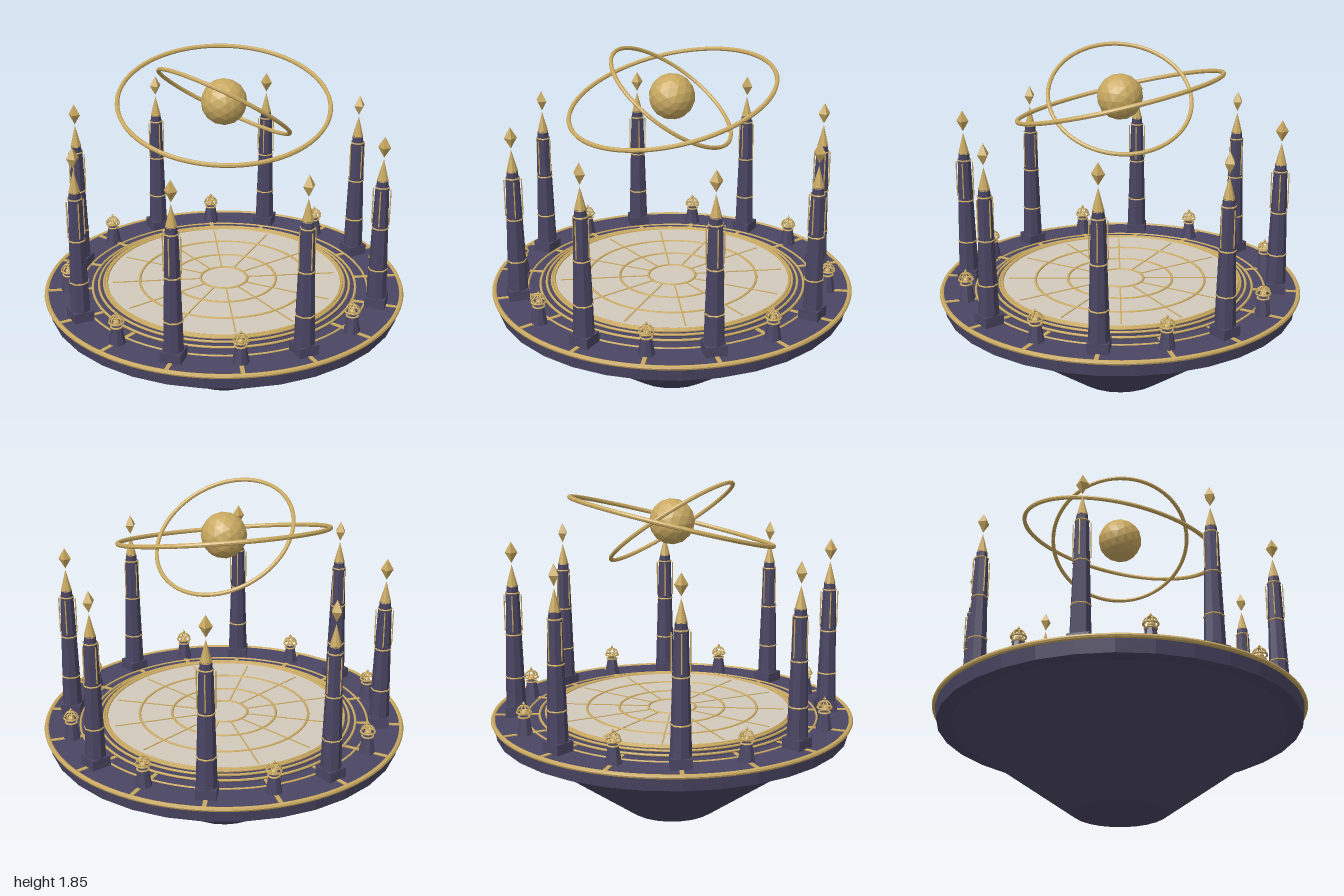
import * as THREE from 'three';

const mat = (name, color, opts = {}) => {
  const m = new THREE.MeshStandardMaterial({ color, ...opts });
  m.name = name;
  return m;
};

export function createModel() {
  const navy = mat('navy stone', 0x4a4563, { flatShading: true });
  const gold = mat('gold', 0xc9a961, { flatShading: true });
  const ivory = mat('ivory floor', 0xd2cabb, { flatShading: true });
  const model = new THREE.Group();
  model.name = 'floatingObservatory';

  const add = (parent, name, geo, material, x = 0, y = 0, z = 0) => {
    const mesh = new THREE.Mesh(geo, material);
    mesh.name = name;
    mesh.position.set(x, y, z);
    parent.add(mesh);
    return mesh;
  };
  // Frustum standing on y0
  const drum = (parent, name, rBottom, rTop, y0, y1, sides, material) =>
    add(parent, name, new THREE.CylinderGeometry(rTop, rBottom, y1 - y0, sides), material, 0, (y0 + y1) / 2);
  // Horizontal ring
  const hoop = (parent, name, r, tube, y, segments = 72) => {
    const mesh = add(parent, name, new THREE.TorusGeometry(r, tube, 8, segments), gold, 0, y);
    mesh.rotation.x = Math.PI / 2;
    return mesh;
  };
  // Group turned so that its local +x points outward from the centre
  const radial = (name, angle, r) => {
    const g = new THREE.Group();
    g.name = name;
    g.position.set(Math.cos(angle) * r, 0, Math.sin(angle) * r);
    g.rotation.y = -angle;
    model.add(g);
    return g;
  };

  // Hull and deck
  drum(model, 'hull', 0.25, 0.9, 0, 0.47, 24, navy);
  drum(model, 'deckRim', 0.972, 0.985, 0.465, 0.55, 32, navy);
  hoop(model, 'rimRing', 0.985, 0.013, 0.545, 96);
  hoop(model, 'deckRing', 0.8, 0.006, 0.551);

  // Stepped dais with gold edging
  [[0.735, 0.561], [0.7, 0.573], [0.672, 0.58]].forEach(([r, y]) => {
    drum(model, 'daisStep', r, r, 0.54, y, 64, navy);
    hoop(model, 'daisEdge', r - 0.003, 0.007, y);
  });
  drum(model, 'floor', 0.655, 0.655, 0.54, 0.583, 64, ivory);
  hoop(model, 'floorEdge', 0.655, 0.008, 0.583);
  [0.13, 0.29, 0.47].forEach(r => hoop(model, 'floorRing', r, 0.007, 0.583));

  // Floor spokes
  for (let i = 0; i < 12; i++) {
    const spoke = radial('floorSpoke', i * Math.PI / 6, 0.375);
    add(spoke, 'spokeInlay', new THREE.BoxGeometry(0.49, 0.004, 0.008), gold, 0, 0.584);
  }

  // Obelisk tower with bands, rods, spire and floating crystal
  function tower(angle) {
    const g = radial('tower', angle, 0.86);
    const shaftRadius = y => 0.055 - (y - 0.6) / 0.64 * 0.019;
    add(g, 'towerPlinth', new THREE.BoxGeometry(0.11, 0.06, 0.11), navy, 0, 0.575);
    drum(g, 'towerShaft', 0.055, 0.036, 0.6, 1.245, 8, navy);
    [0.77, 1.01, 1.24].forEach(y => hoop(g, 'towerBand', shaftRadius(y), 0.0045, y, 8));
    drum(g, 'towerNeck', 0.032, 0.03, 1.24, 1.28, 8, navy);
    drum(g, 'towerSpire', 0.031, 0, 1.275, 1.395, 8, gold);
    for (let i = 0; i < 4; i++) {
      const a = i * Math.PI / 2;
      add(g, 'towerRod', new THREE.CylinderGeometry(0.0035, 0.0035, 0.2, 6), gold,
        Math.cos(a) * 0.046, 1.13, Math.sin(a) * 0.046);
    }
    add(g, 'towerCrystal', new THREE.OctahedronGeometry(0.034), gold, 0, 1.46).scale.y = 1.7;
  }

  // Low lantern with a domed cage
  function lantern(angle) {
    const g = radial('lantern', angle, 0.86);
    drum(g, 'lanternPedestal', 0.045, 0.028, 0.55, 0.645, 8, navy);
    hoop(g, 'lanternCollar', 0.03, 0.005, 0.645, 12);
    hoop(g, 'lanternRing', 0.038, 0.005, 0.67, 16);
    add(g, 'lanternCore', new THREE.IcosahedronGeometry(0.018, 1), gold, 0, 0.665);
    for (let i = 0; i < 4; i++) {
      const rib = add(g, 'lanternRib', new THREE.TorusGeometry(0.038, 0.0035, 6, 12, Math.PI), gold, 0, 0.67);
      rib.rotation.y = i * Math.PI / 4;
    }
    add(g, 'lanternFinial', new THREE.OctahedronGeometry(0.009), gold, 0, 0.717).scale.y = 1.6;
  }

  // Sixteen stations alternate lanterns and towers, each on a gold deck strip
  for (let i = 0; i < 16; i++) {
    const angle = i * Math.PI / 8;
    const strip = radial('deckStrip', angle, 0.855);
    add(strip, 'stripInlay', new THREE.BoxGeometry(0.24, 0.006, 0.022), gold, 0, 0.551);
    if (i % 2) tower(angle);
    else lantern(angle);
  }

  // Orb and its two tilted orbit rings
  add(model, 'orb', new THREE.IcosahedronGeometry(0.123, 2), gold, 0, 1.62);
  const outer = add(model, 'outerOrbit', new THREE.TorusGeometry(0.56, 0.012, 8, 96), gold, 0, 1.62);
  outer.rotation.x = THREE.MathUtils.degToRad(105);
  const inner = add(model, 'innerOrbit', new THREE.TorusGeometry(0.382, 0.011, 8, 80), gold, 0, 1.617);
  inner.quaternion.setFromUnitVectors(
    new THREE.Vector3(0, 0, 1), new THREE.Vector3(0.464, 0.811, -0.358).normalize());

  return model;
}
